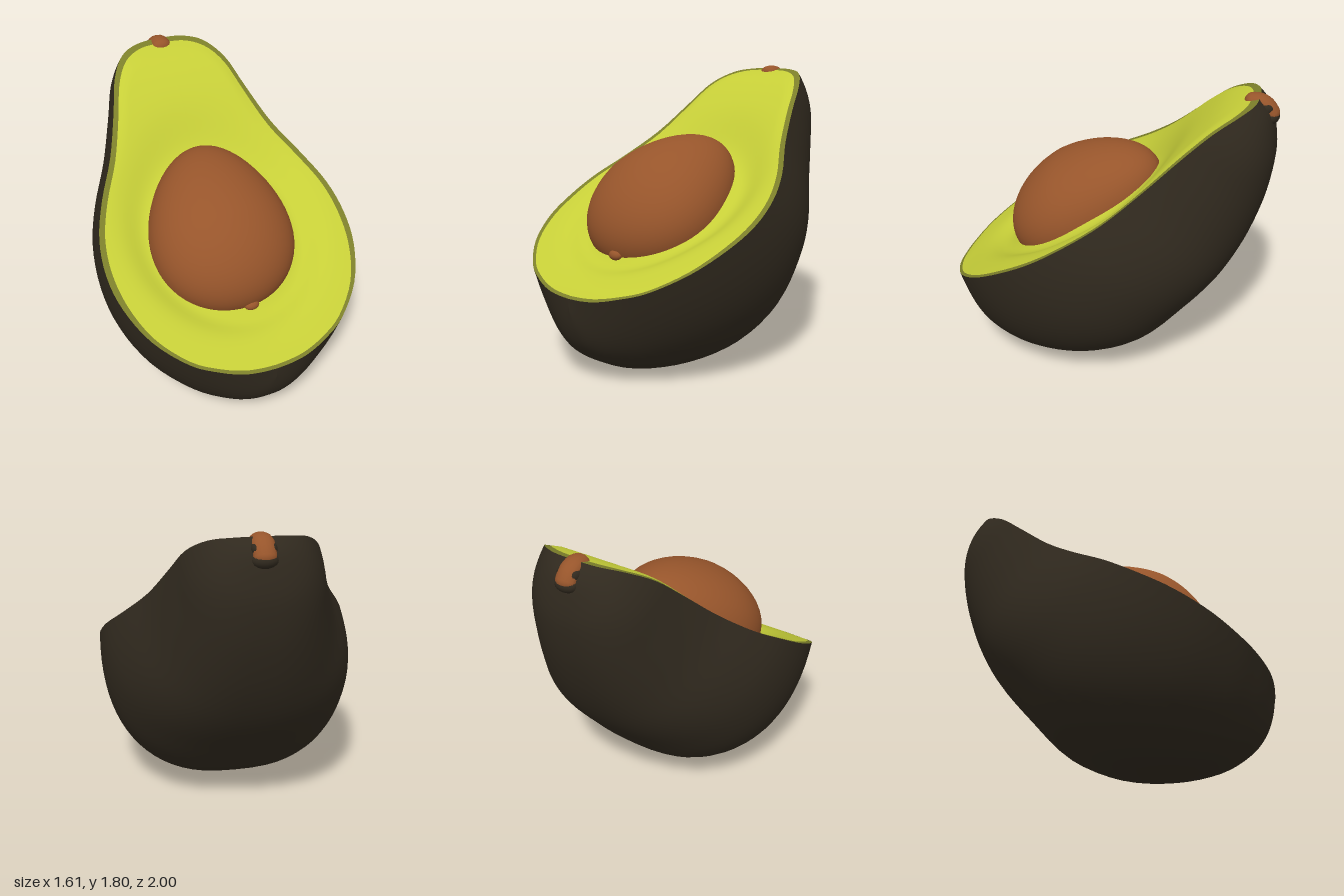
import * as THREE from 'three';

const mat = (name, color, side = THREE.FrontSide) => {
  const m = new THREE.MeshStandardMaterial({ color, side });
  m.name = name;
  return m;
};

// Lengthwise stations, stem end to round end: half width, rim z, rim y, belly z, belly y
const STATIONS = [
  [0, -0.88, 1.79, -0.9, 1.77],
  [0.15, -0.865, 1.785, -0.955, 1.69],
  [0.28, -0.795, 1.76, -0.99, 1.53],
  [0.38, -0.66, 1.68, -0.99, 1.38],
  [0.45, -0.5, 1.54, -0.95, 1.16],
  [0.55, -0.3, 1.355, -0.86, 0.9],
  [0.68, -0.1, 1.195, -0.73, 0.66],
  [0.77, 0.1, 1.07, -0.55, 0.44],
  [0.8, 0.3, 0.95, -0.31, 0.19],
  [0.77, 0.5, 0.84, 0, 0.045],
  [0.67, 0.7, 0.72, 0.33, 0.004],
  [0.5, 0.86, 0.615, 0.62, 0.03],
  [0.34, 0.94, 0.565, 0.81, 0.11],
  [0.21, 0.98, 0.535, 0.915, 0.205],
  [0.1, 0.995, 0.523, 0.972, 0.32],
  [0, 1.0, 0.52, 1.0, 0.45],
];
const rimCurve = new THREE.CatmullRomCurve3(
  STATIONS.map(([w, z, y]) => new THREE.Vector3(w, y, z)), false, 'catmullrom');
const bellyCurve = new THREE.CatmullRomCurve3(
  STATIONS.map(([, , , z, y]) => new THREE.Vector3(0, y, z)), false, 'catmullrom');
const N = 60;
const rim = rimCurve.getPoints(N);
const belly = bellyCurve.getPoints(N);
rim.forEach((p) => { p.x = Math.max(0, p.x); });

// Smooth surface from a rule point(i, j) over a grid
function surface(rows, cols, point) {
  const pos = [], idx = [];
  for (let i = 0; i <= rows; i++)
    for (let j = 0; j <= cols; j++) pos.push(...point(i, j));
  for (let i = 0; i < rows; i++)
    for (let j = 0; j < cols; j++) {
      const a = i * (cols + 1) + j, b = a + cols + 1;
      idx.push(a, b, a + 1, b, b + 1, a + 1);
    }
  const g = new THREE.BufferGeometry();
  g.setAttribute('position', new THREE.Float32BufferAttribute(pos, 3));
  g.setIndex(idx);
  g.computeVertexNormals();
  return g;
}

// Height of the cut at a given z
function cutHeight(z) {
  let i = 0;
  while (i < N - 1 && rim[i + 1].z < z) i++;
  const a = rim[i], b = rim[i + 1];
  const t = THREE.MathUtils.clamp((z - a.z) / (b.z - a.z || 1), 0, 1);
  return a.y + (b.y - a.y) * t;
}

export function createModel() {
  const group = new THREE.Group();
  const skinMat = mat('dark skin', 0x30291e, THREE.DoubleSide);
  const rimMat = mat('olive rim', 0x7c7f2a, THREE.DoubleSide);
  const fleshMat = mat('green flesh', 0xc6ce38, THREE.DoubleSide);
  const seedMat = mat('brown seed', 0x97552b);
  const add = (name, geometry, material, parent = group) => {
    const mesh = new THREE.Mesh(geometry, material);
    mesh.name = name;
    parent.add(mesh);
    return mesh;
  };

  // Skin: rounded half sections hung below the rim
  const M = 40;
  add('skin', surface(N, M, (i, j) => {
    const a = (Math.PI * j) / M, c = Math.cos(a);
    const s = Math.max(0, Math.sin(a));
    const depth = Math.pow(s, 0.92);
    const bulge = 1 + 0.08 * s * Math.abs(c);
    const x = rim[i].x * Math.sign(c) * Math.pow(Math.abs(c), 0.75) * bulge;
    return [x, THREE.MathUtils.lerp(rim[i].y, belly[i].y, depth),
      THREE.MathUtils.lerp(rim[i].z, belly[i].z, depth)];
  }), skinMat);

  // Cut face: closed rim loop shrunk toward the middle, in two colour bands
  const loop = [...rim.map((p) => [p.x, p.z]),
    ...rim.slice(0, -1).reverse().map((p) => [-p.x, p.z])];
  const cz = 0.1;
  const cutPoint = (i, r) => {
    const x = loop[i][0] * r, z = cz + (loop[i][1] - cz) * r;
    const d = Math.hypot(x / 0.48, (z - 0.19) / 0.48) - 1;
    const hollow = -0.075 * Math.exp(-d * d * 16);
    const neck = 0.028 * Math.exp(-Math.pow((z + 0.55) / 0.25, 2));
    const fade = Math.min(1, (1 - r) / 0.12);
    return [x, cutHeight(z) + (hollow + neck) * fade, z];
  };
  // The band thins out toward the round end
  const inner = (i) => 0.952 + 0.028 * THREE.MathUtils.smoothstep(loop[i][1], 0.3, 0.9);
  const R = 28, turns = loop.length - 1;
  add('flesh', surface(turns, R, (i, j) => cutPoint(i, (inner(i) * j) / R)), fleshMat);
  add('rim', surface(turns, 2,
    (i, j) => cutPoint(i, THREE.MathUtils.lerp(inner(i), 1, j / 2))), rimMat);

  // Seed: egg lying along the cut, pointed toward the stem
  const seed = new THREE.Group();
  seed.name = 'seed';
  seed.position.set(-0.03, 0.975, 0.19);
  seed.rotation.x = Math.atan2(0.566, 0.824);
  group.add(seed);
  const egg = new THREE.SphereGeometry(1, 48, 32);
  egg.rotateX(Math.PI / 2);
  const p = egg.attributes.position;
  for (let i = 0; i < p.count; i++) {
    const z = p.getZ(i), back = Math.max(0, -z);
    p.setXYZ(i,
      p.getX(i) * 0.45 * (1 + 0.13 * z) + 0.03 * back * back,
      p.getY(i) * 0.355 * (1 - 0.1 * back),
      z * (0.515 + 0.05 * back));
  }
  egg.computeVertexNormals();
  add('seedBody', egg, seedMat, seed);
  const nub = add('seedNub', new THREE.SphereGeometry(0.04, 16, 12), seedMat);
  nub.position.set(0, 0.715, 0.63);
  nub.scale.set(1.2, 0.8, 0.8);

  // Stem: short flattened stub bent over the narrow end, dark underneath
  const stem = new THREE.Group();
  stem.name = 'stem';
  group.add(stem);
  const path = new THREE.QuadraticBezierCurve3(
    new THREE.Vector3(0, 1.758, -0.835),
    new THREE.Vector3(0, 1.772, -0.91),
    new THREE.Vector3(0, 1.695, -0.95));
  const stub = new THREE.TubeGeometry(path, 12, 0.048, 16);
  stub.scale(1.35, 1, 1);
  add('stemStub', stub, seedMat, stem);
  for (const t of [0, 1]) {
    const end = add('stemEnd', new THREE.SphereGeometry(0.048, 16, 12), seedMat, stem);
    end.position.copy(path.getPoint(t));
    end.scale.x = 1.35;
  }
  const base = add('stemBase', new THREE.SphereGeometry(0.055, 16, 12), skinMat, stem);
  base.position.set(0, 1.675, -0.947);
  base.scale.set(1.35, 0.85, 0.95);
  for (const s of [-1, 1]) {
    const side = add('stemSide', new THREE.SphereGeometry(0.04, 16, 12), skinMat, stem);
    side.position.set(s * 0.042, 1.73, -0.91);
    side.scale.set(0.8, 0.9, 1.3);
  }
  return group;
}
